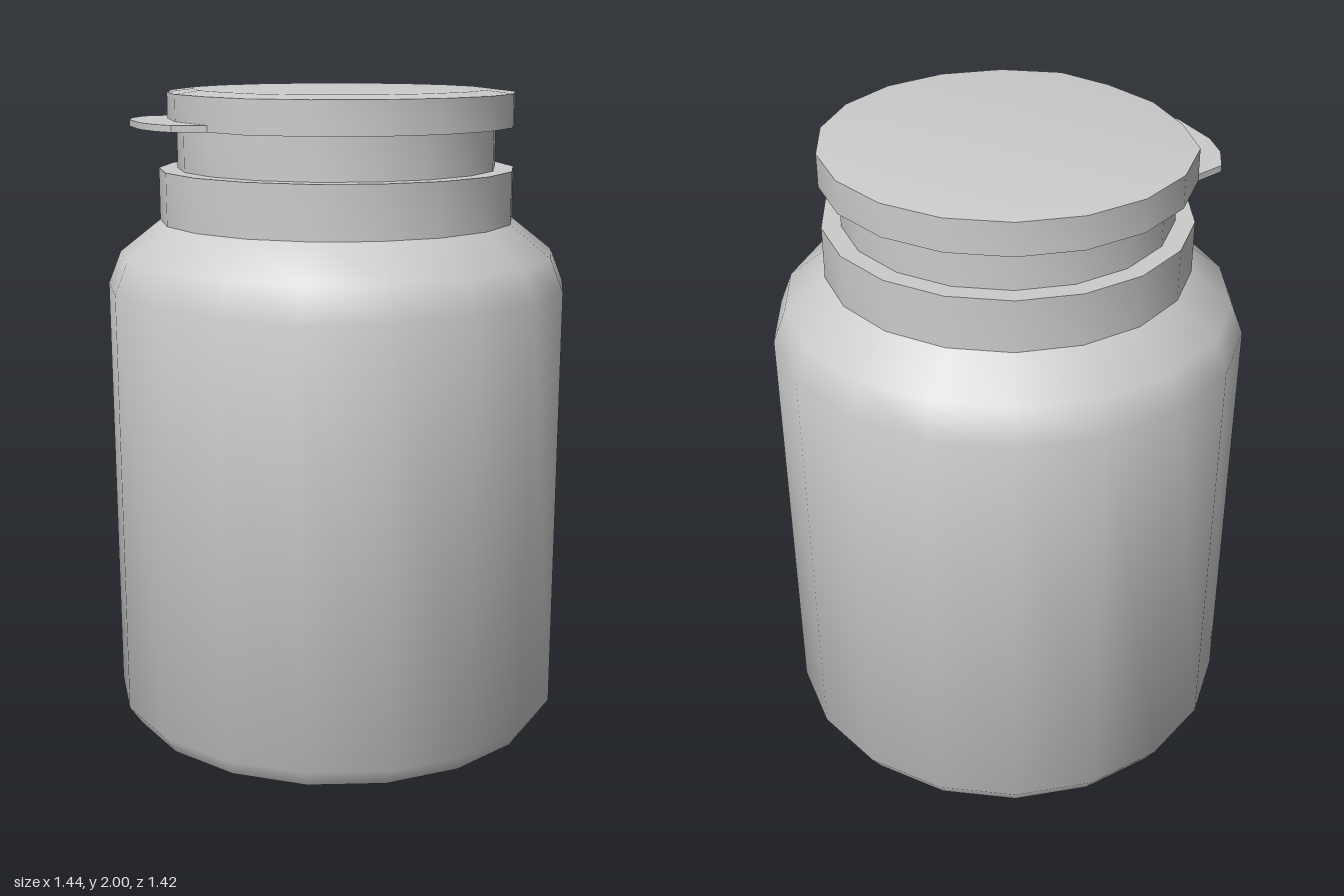
import * as THREE from 'three';
import { toCreasedNormals } from 'three/addons/utils/BufferGeometryUtils.js';

const SIDES = 18;
const material = new THREE.MeshStandardMaterial({ color: 0xcccccc });

// Revolve a bottom-to-top [radius, height] profile, with a corner on the x axis
function turned(profile) {
  const points = profile.map(([r, y]) => new THREE.Vector2(r, y));
  return new THREE.LatheGeometry(points, SIDES, Math.PI / 2);
}

function part(name, geometry) {
  const mesh = new THREE.Mesh(toCreasedNormals(geometry, 0.7), material);
  mesh.name = name;
  return mesh;
}

export function createModel() {
  const model = new THREE.Group();
  model.name = 'bottle';

  // Body with chamfered base and sloping shoulder
  model.add(part('body', turned([
    [0, 0], [0.68, 0], [0.72, 0.06], [0.72, 1.4], [0.68, 1.5], [0.553, 1.6],
  ])));

  // Collar ring above the shoulder
  model.add(part('collar', turned([[0.553, 1.6], [0.553, 1.76], [0.495, 1.76]])));

  // Narrow neck between collar and lid
  model.add(part('neck', turned([[0.495, 1.76], [0.495, 1.89]])));

  // Lid, pressed in on the side that carries the thumb tab
  const lid = turned([[0.495, 1.89], [0.553, 1.89], [0.553, 1.99], [0.47, 2], [0, 2]]);
  const pos = lid.attributes.position;
  for (let i = 0; i < pos.count; i++) {
    if (pos.getX(i) < -0.43) pos.setX(i, pos.getX(i) * 0.94);
  }
  model.add(part('lid', lid));

  // Thin thumb tab; its inner edge follows the pressed-in lid (x, z outline)
  const outline = [
    [-0.424, -0.355], [-0.52, -0.34], [-0.58, -0.26], [-0.615, -0.165], [-0.627, 0],
    [-0.61, 0.1], [-0.58, 0.16], [-0.485, 0.2], [-0.489, 0.189], [-0.52, 0], [-0.489, -0.189],
  ];
  const shape = new THREE.Shape(outline.map(([x, z]) => new THREE.Vector2(x, z)));
  const tab = new THREE.ExtrudeGeometry(shape, { depth: 0.02, bevelEnabled: false });
  tab.rotateX(Math.PI / 2).translate(0, 1.91, 0);
  model.add(part('thumbTab', tab));

  return model;
}
